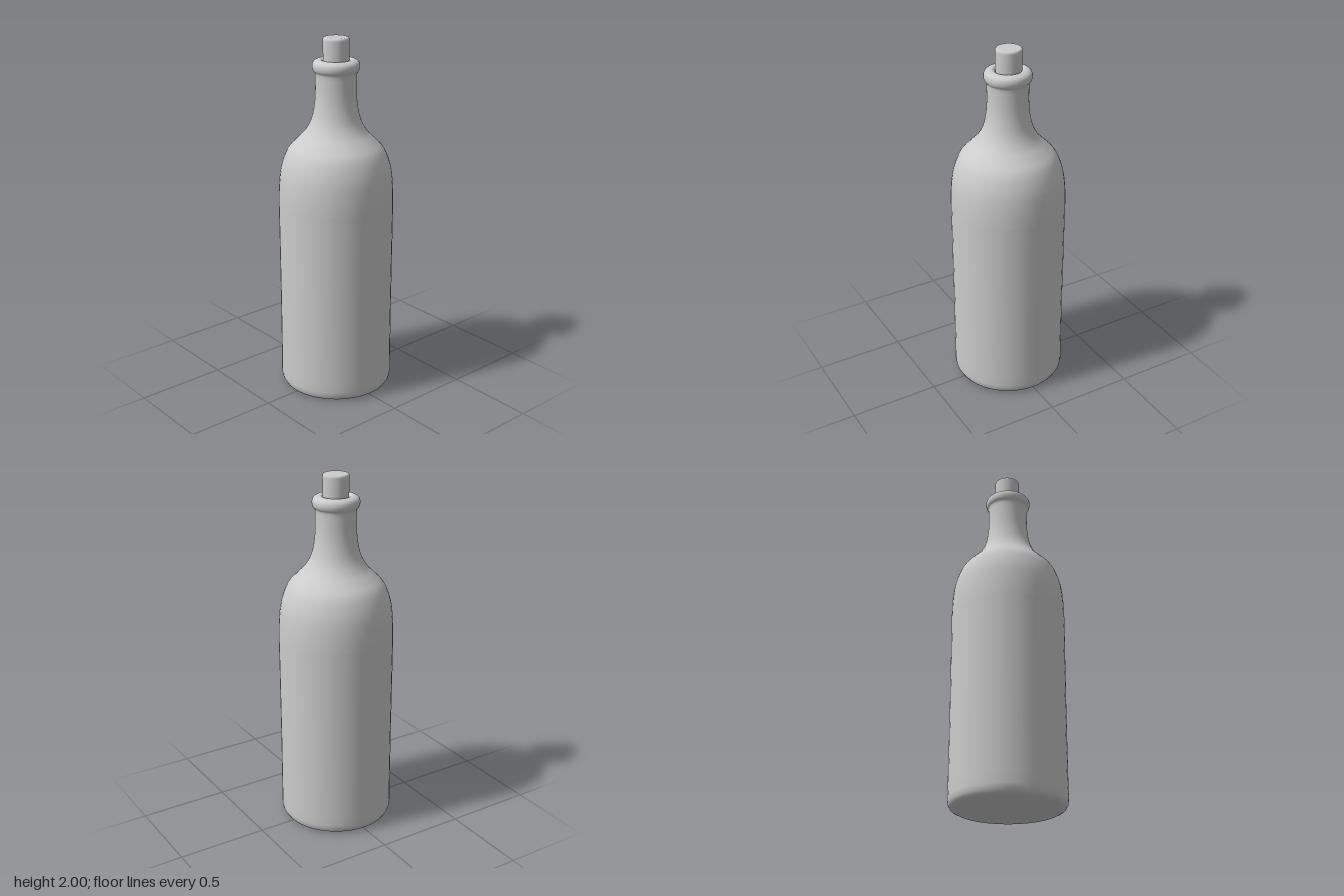
import * as THREE from 'three';

const material = new THREE.MeshStandardMaterial({ color: 0xcccccc });
const vec = ([r, y]) => new THREE.Vector2(r, y);

// Smooth surface of revolution through profile points listed bottom to top
function turned(name, points, segments) {
  const mesh = new THREE.Mesh(new THREE.LatheGeometry(points, segments), material);
  mesh.name = name;
  return mesh;
}

export function createModel() {
  const group = new THREE.Group();
  group.name = 'corkedBottle';

  // Flat base with a small rounded heel, then the straight wall
  const base = [[0, 0.004], [0.27, 0.004], [0.285, 0.006], [0.302, 0.015],
    [0.312, 0.032], [0.316, 0.06], [0.315, 0.12], [0.314, 0.5], [0.315, 0.9]].map(vec);

  // Shoulder sweeping into the neck
  const shoulder = new THREE.SplineCurve([[0.316, 1.1], [0.312, 1.2], [0.298, 1.3],
    [0.264, 1.39], [0.215, 1.445], [0.17, 1.492], [0.137, 1.55], [0.119, 1.62],
    [0.111, 1.7], [0.111, 1.805]].map(vec)).getPoints(36);

  // Rounded lip, closing inwards under the cork
  const lip = new THREE.SplineCurve([[0.114, 1.815], [0.124, 1.828], [0.128, 1.848],
    [0.123, 1.868], [0.108, 1.88], [0.088, 1.884], [0.074, 1.878], [0.066, 1.865]].map(vec)).getPoints(24);

  group.add(turned('bottle', [...base, ...shoulder, ...lip], 48));

  // Cork with a softened top edge, seated slightly off centre
  const cork = turned('cork', [[0.069, 1.85], [0.07, 1.9], [0.071, 1.985], [0.07, 1.993],
    [0.066, 1.998], [0.06, 2], [0, 2]].map(vec), 40);
  cork.position.set(-0.003, 0, -0.003);
  group.add(cork);

  return group;
}
